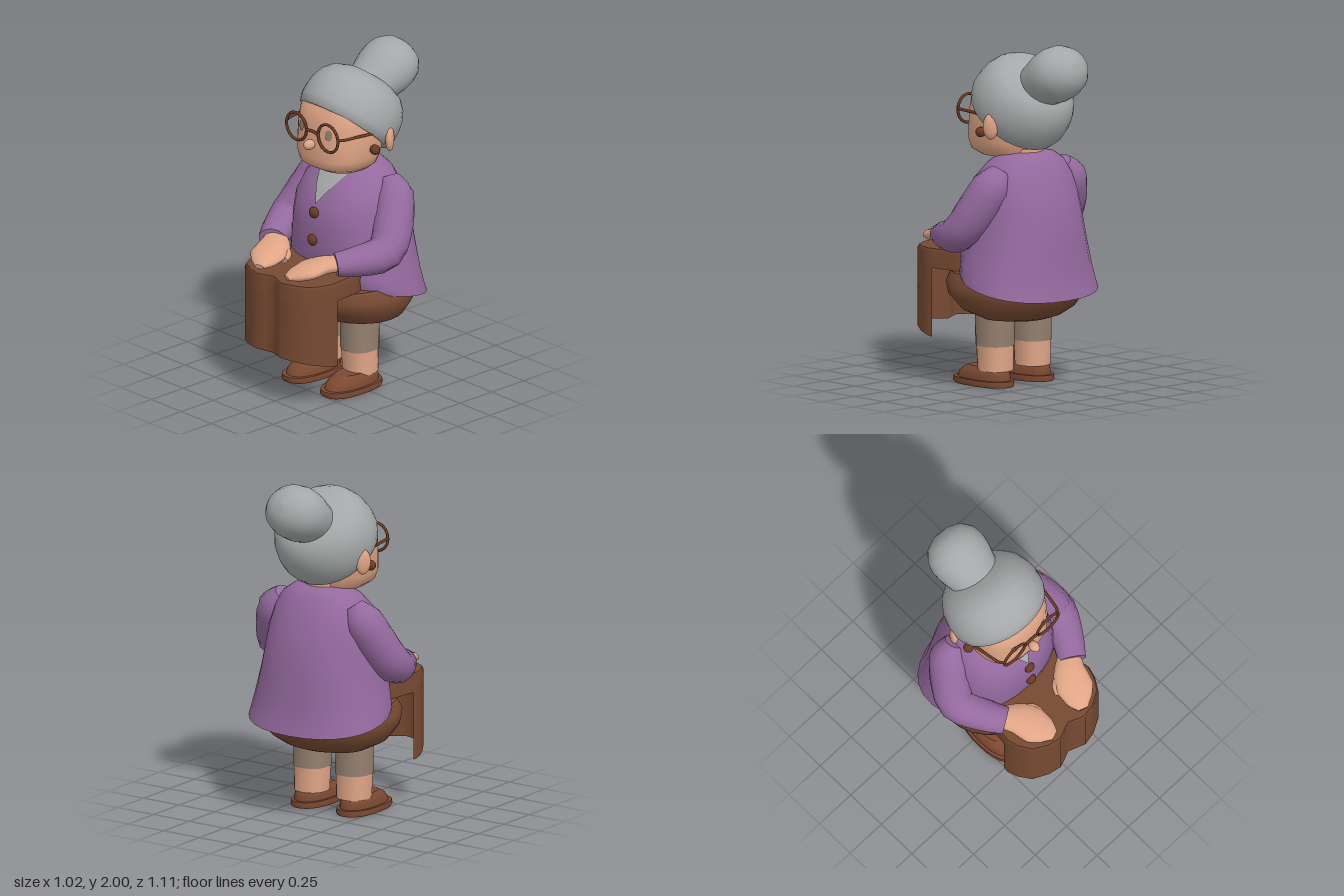
import * as THREE from 'three';

const mat = (name, color, side = THREE.FrontSide) => {
  const m = new THREE.MeshStandardMaterial({ color, side });
  m.name = name;
  return m;
};
const V = (x, y, z) => new THREE.Vector3(x, y, z);

// Skin a stack of equal-length point loops; caps get their own vertices for a crisp rim
function loft(loops, closed = true, capped = true) {
  const pos = [], idx = [], n = loops[0].length;
  const add = p => pos.push(p.x, p.y, p.z) / 3 - 1;
  loops.forEach(l => l.forEach(add));
  for (let i = 0; i < loops.length - 1; i++)
    for (let j = 0; j < (closed ? n : n - 1); j++) {
      const k = (j + 1) % n, a = i * n + j, b = i * n + k;
      idx.push(a, b, b + n, a, b + n, a + n);
    }
  if (capped) for (const [loop, top] of [[loops[0], false], [loops.at(-1), true]]) {
    const c = add(loop.reduce((s, p) => s.add(p), V(0, 0, 0)).divideScalar(n));
    const first = loop.map(add)[0];
    for (let j = 0; j < n; j++) {
      const a = first + j, b = first + (j + 1) % n;
      if (top) idx.push(c, a, b); else idx.push(c, b, a);
    }
  }
  const g = new THREE.BufferGeometry();
  g.setAttribute('position', new THREE.Float32BufferAttribute(pos, 3));
  g.setIndex(idx);
  g.computeVertexNormals();
  return g;
}

// Upright body from rows [y, half width, front z, back z, rise towards front]
const body = (rows, p = 2, n = 28) => loft(rows.map(([y, w, f, b, rise = 0]) =>
  Array.from({ length: n }, (_, j) => {
    const a = j / n * Math.PI * 2, s = Math.sin(a), c = Math.cos(a);
    const e = v => Math.sign(v) * Math.abs(v) ** (2 / p);
    return V(w * e(s), y + rise * (e(c) + 1) / 2, (f + b) / 2 + (f - b) / 2 * e(c));
  })));

// Front z of such a body
function frontZ(rows, p, x, y) {
  let i = 0;
  while (i < rows.length - 2 && rows[i + 1][0] < y) i++;
  const t = (y - rows[i][0]) / (rows[i + 1][0] - rows[i][0]);
  const [, w, f, b] = rows[i].map((v, k) => THREE.MathUtils.lerp(v, rows[i + 1][k], t));
  return (f + b) / 2 + (f - b) / 2 * Math.max(0, 1 - (Math.abs(x) / w) ** p) ** (1 / p);
}

// Thin patch lying on the front of a body
function patch(rows, p, cx, y0, y1, half, lift) {
  const loops = [];
  for (let i = 0; i <= 10; i++) {
    const t = i / 10, y = y0 + (y1 - y0) * t, h = half(t);
    loops.push(Array.from({ length: 9 }, (_, j) => {
      const x = cx + h * (j / 4 - 1);
      return V(x, y, frontZ(rows, p, x, y) + lift);
    }));
  }
  return loft(loops, false, false);
}

// Bent limb through points, with radii [sideways, thickness] at each
function limb(points, radii, steps = 10, n = 14) {
  const curve = new THREE.CatmullRomCurve3(points), loops = [];
  for (let i = 0; i <= steps; i++) {
    const t = i / steps, u = t * (radii.length - 1), k = Math.min(Math.floor(u), radii.length - 2);
    const r = [0, 1].map(q => THREE.MathUtils.lerp(radii[k][q], radii[k + 1][q], u - k));
    const T = curve.getTangent(t), S = V(0, 1, 0).cross(T).normalize(), C = S.clone().cross(T);
    loops.push(Array.from({ length: n }, (_, j) => {
      const a = j / n * Math.PI * 2;
      return curve.getPoint(t).addScaledVector(S, r[0] * Math.sin(a)).addScaledVector(C, r[1] * Math.cos(a));
    }));
  }
  return loft(loops);
}

export function createModel() {
  const root = new THREE.Group();
  root.name = 'seatedWoman';
  const skin = mat('skin', 0xe0a586), grey = mat('grey hair', 0xa5a7a8), purple = mat('purple knit', 0x956a9f);
  const brown = mat('brown skirt', 0x774a32, THREE.DoubleSide), shoe = mat('shoe leather', 0x7c4932);
  const dark = mat('dark brown', 0x6a3a24), stocking = mat('taupe', 0x94806f);
  const add = (name, geo, m, x = 0, y = 0, z = 0) => {
    const mesh = new THREE.Mesh(geo, m);
    mesh.name = name;
    mesh.position.set(x, y, z);
    root.add(mesh);
    return mesh;
  };
  const ball = (name, m, x, y, z, rx, ry, rz) => {
    const mesh = add(name, new THREE.SphereGeometry(1, 14, 10), m, x, y, z);
    mesh.scale.set(rx, ry, rz);
    return mesh;
  };
  const lathe = pts => new THREE.LatheGeometry(pts.map(p => new THREE.Vector2(...p)), 28);

  // Cardigan, shirt and buttons
  const torso = [[0.525, 0.432, 0.14, -0.475, 0.13], [0.6, 0.425, 0.17, -0.458, 0.07], [0.69, 0.408, 0.18, -0.442, 0.03],
    [0.85, 0.37, 0.2, -0.432], [1.0, 0.345, 0.2, -0.412], [1.12, 0.328, 0.18, -0.382], [1.22, 0.298, 0.115, -0.342],
    [1.3, 0.245, 0.045, -0.305], [1.345, 0.18, -0.01, -0.265], [1.36, 0.12, -0.05, -0.22]];
  add('cardigan', body(torso, 2.25), purple);
  add('shirt', patch(torso, 2.25, 0, 1.13, 1.33, t => 0.125 * t, 0.009), grey);
  for (const y of [1.08, 0.915]) ball('button', dark, 0, y, frontZ(torso, 2.25, 0, y) + 0.005, 0.033, 0.033, 0.025);

  // Head
  add('neck', new THREE.CylinderGeometry(0.125, 0.125, 0.12, 24), skin, 0, 1.32, -0.1);
  const head = [[1.32, 0.11, 0.05, -0.14], [1.333, 0.17, 0.14, -0.175], [1.365, 0.215, 0.195, -0.195],
    [1.42, 0.236, 0.207, -0.21], [1.5, 0.245, 0.2, -0.23], [1.6, 0.248, 0.19, -0.24],
    [1.7, 0.235, 0.172, -0.24], [1.8, 0.17, 0.09, -0.2]];
  add('head', body(head, 2.5), skin);
  ball('nose', skin, 0, 1.51, 0.23, 0.03, 0.03, 0.038);

  // Hair cap and bun, tipped backwards
  add('hair', lathe([[0.2, 0.03], [0.262, 0], [0.285, 0.004], [0.3, 0.05], [0.3, 0.11], [0.29, 0.17],
    [0.265, 0.23], [0.22, 0.28], [0.14, 0.315], [0, 0.33]]), grey, 0, 1.56, -0.04).rotation.x = -0.708;
  const bun = add('hairBun', lathe([[0.125, -0.05], [0.127, 0.03], [0.142, 0.1], [0.157, 0.17], [0.16, 0.235], [0.148, 0.295],
    [0.112, 0.35], [0.06, 0.378], [0, 0.387]]), grey, 0, 1.722, -0.197);
  bun.rotation.x = -1.05;
  bun.scale.x = 1.14;

  // Spectacle bridge
  const rod = pts => new THREE.TubeGeometry(new THREE.CatmullRomCurve3(pts), 8, 0.009, 8);
  add('glassesBridge', rod([V(-0.05, 1.582, 0.208), V(0, 1.588, 0.208), V(0.05, 1.582, 0.208)]), dark);

  for (const s of [-1, 1]) {
    // Face details
    add('eye', patch(head, 2.5, s * 0.113, 1.552, 1.618, t => 0.023 * Math.sqrt(Math.max(0, 1 - (2 * t - 1) ** 2)), 0.006), stocking);
    ball('ear', skin, s * 0.285, 1.53, -0.135, 0.026, 0.075, 0.046).rotation.y = s * 0.6;
    ball('earring', dark, s * 0.268, 1.485, -0.035, 0.03, 0.03, 0.03);
    add('glassesRim', new THREE.TorusGeometry(0.083, 0.0085, 8, 28), dark, s * 0.132, 1.58, 0.206);
    add('glassesTemple', rod([V(s * 0.212, 1.59, 0.206), V(s * 0.228, 1.59, 0.19), V(s * 0.255, 1.59, 0.06), V(s * 0.275, 1.585, -0.08)]), dark);

    // Sleeves and hands
    add('sleeve', limb([V(s * 0.24, 1.27, -0.17), V(s * 0.3, 1.185, -0.155), V(s * 0.36, 1.04, -0.09), V(s * 0.4, 0.905, 0.01),
      V(s * 0.335, 0.87, 0.16), V(s * 0.265, 0.858, 0.27)],
    [[0.06, 0.06], [0.115, 0.115], [0.118, 0.118], [0.112, 0.108], [0.095, 0.088], [0.082, 0.066]], 15), purple);
    add('hand', limb([V(s * 0.275, 0.86, 0.235), V(s * 0.2, 0.848, 0.32), V(s * 0.163, 0.828, 0.4), V(s * 0.133, 0.81, 0.465), V(s * 0.115, 0.8, 0.515)],
      [[0.065, 0.045], [0.1, 0.045], [0.11, 0.042], [0.078, 0.032], [0.03, 0.014]], 12), skin);
    add('thumb', limb([V(s * 0.17, 0.84, 0.27), V(s * 0.1, 0.825, 0.32), V(s * 0.07, 0.808, 0.36)],
      [[0.03, 0.025], [0.035, 0.03], [0.02, 0.02]], 6, 10), skin);

    // Legs and shoes
    add('stocking', body([[0.235, 0.104, 0.081, -0.138], [0.45, 0.1, 0.09, -0.142]], 2.3, 18), stocking, s * 0.148);
    add('lowerLeg', body([[0.09, 0.098, 0.065, -0.132], [0.24, 0.101, 0.077, -0.135]], 2.3, 18), skin, s * 0.148);
    add('shoeSole', body([[0, 0.107, 0.25, -0.157], [0.012, 0.111, 0.262, -0.161], [0.036, 0.109, 0.258, -0.159]], 2.4), shoe, s * 0.16);
    add('shoeUpper', body([[0.03, 0.095, 0.235, -0.14], [0.06, 0.094, 0.225, -0.138], [0.088, 0.086, 0.195, -0.13],
      [0.11, 0.066, 0.15, -0.1]], 2.3), shoe, s * 0.16);
  }

  // Skirt seat
  add('skirtSeat', body([[0.385, 0.14, -0.02, -0.24], [0.4, 0.26, 0.06, -0.28], [0.45, 0.36, 0.2, -0.35],
    [0.53, 0.41, 0.3, -0.415], [0.6, 0.415, 0.325, -0.42], [0.66, 0.37, 0.315, -0.39]], 2.1), brown);

  // Skirt over the lap, with the front panel hanging past the knees
  const half = [[0.05, 0.53], [0.1, 0.55], [0.18, 0.532], [0.265, 0.485], [0.31, 0.41], [0.328, 0.345], [0.322, 0.31],
    [0.305, 0.15], [0.26, 0]];
  const outline = (count, y, k = 1) => {
    const h = half.slice(0, count);
    return [...h.map(([x, z]) => [-x, z]).reverse(), [0, 0.51], ...h]
      .map(([x, z]) => V(x * k, typeof y === 'function' ? y(z) : y, 0.25 + (z - 0.25) * k));
  };
  add('skirtLap', loft([outline(9, 0.66), outline(9, 0.755), outline(9, 0.772, 0.975)]), brown);
  add('skirtFront', loft([outline(7, z => 0.26 + (z - 0.31) * 0.21), outline(7, 0.5), outline(7, 0.755)], false, false), brown);

  return root;
}
